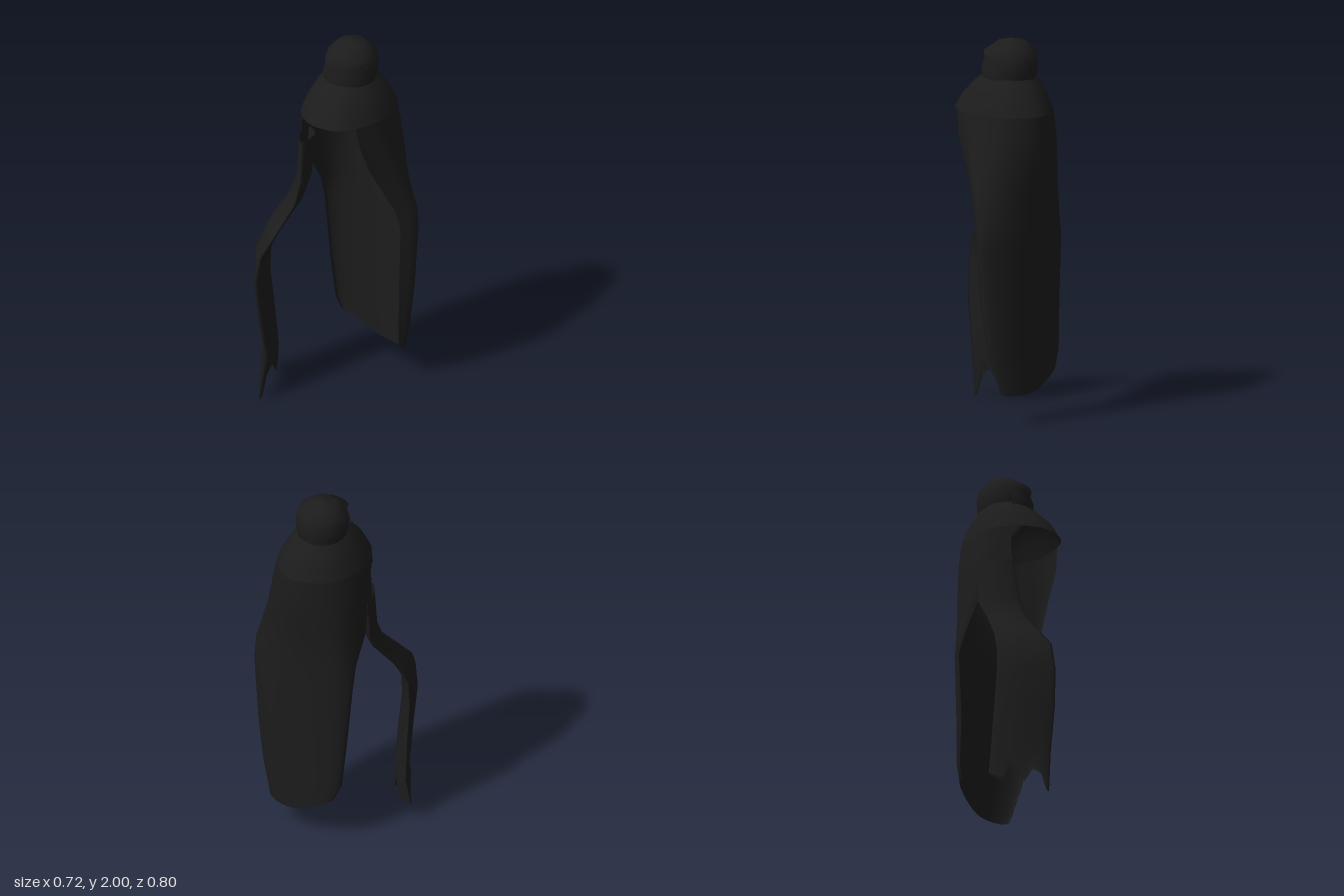
import * as THREE from 'three';

const hair = new THREE.MeshStandardMaterial({ color: 0x1c1c1c, side: THREE.DoubleSide });
hair.name = 'black hair';

// Lofts a sheet through rows of [x, z] or [x, z, y] points; ends sets the height of each tip
function loft(name, rows, columns, closed = false, ends = null) {
  const pos = [], index = [];
  rows.forEach(([y, pts], r) => {
    const curve = new THREE.CatmullRomCurve3(pts.map(p => new THREE.Vector3(p[0], p[2] ?? y, p[1])), closed);
    for (let c = 0; c <= columns; c++) {
      const p = curve.getPoint(c / columns);
      if (ends && r === rows.length - 1) p.y = ends[c];
      pos.push(p.x, p.y, p.z);
      if (r && c < columns) {
        const d = r * (columns + 1) + c, a = d - columns - 1;
        index.push(a, a + 1, d, a + 1, d + 1, d);
      }
    }
  });
  const g = new THREE.BufferGeometry();
  g.setAttribute('position', new THREE.Float32BufferAttribute(pos, 3));
  g.setIndex(index);
  g.computeVertexNormals();
  const m = new THREE.Mesh(g, hair);
  m.name = name;
  return m;
}

function lathe(name, profile, x, z, segments, start = 0, length = Math.PI * 2) {
  const g = new THREE.LatheGeometry(profile.map(p => new THREE.Vector2(...p)), segments, start, length);
  const m = new THREE.Mesh(g, hair);
  m.name = name;
  m.position.set(x, 0, z);
  return m;
}

export function createModel() {
  const model = new THREE.Group();
  model.name = 'longHair';

  // Bun, with a strand wrapped around its front left
  model.add(lathe('bun', [[0.128, 1.785], [0.133, 1.82], [0.14, 1.87], [0.125, 1.935], [0.075, 1.983], [0, 2]], 0.02, -0.145, 20));
  model.add(lathe('bunWrap', [[0.138, 1.79], [0.142, 1.85], [0.125, 1.895], [0.13, 1.93], [0.08, 1.965]], 0.022, -0.125, 12, -0.6, 2.8));

  // Crown: spreads from the bun to the fringe edge and the shoulders
  const back = [[-0.14, 0.07], [-0.195, -0.08], [-0.15, -0.28], [0.03, -0.39], [0.2, -0.3], [0.255, -0.1], [0.22, 0.05]];
  const rim = [...back, [0.16, 0.135], [0.03, 0.17], [-0.06, 0.14]];
  const crown = [[1.82, 0], [1.765, 0.4], [1.7, 0.74], [1.62, 1]].map(([y, t]) => [y, rim.map(([x, z]) => {
    const dx = x - 0.02, dz = z + 0.13, k = 0.12 / Math.hypot(dx, dz);
    const s = k + (1 - k) * t;
    return [0.02 + dx * s, -0.13 + dz * s];
  })]);
  model.add(loft('crown', crown, 40, true));

  // Back hair: an open curved sheet that narrows at the ends
  model.add(loft('backHair', [
    [1.62, back],
    [1.5, [[-0.14, 0.06], [-0.213, -0.08], [-0.17, -0.28], [0.03, -0.397], [0.22, -0.31], [0.275, -0.13], [0.235, 0.03]]],
    [1.35, [[-0.13, 0.08], [-0.225, -0.08], [-0.18, -0.28], [0.03, -0.388], [0.24, -0.315], [0.305, -0.16], [0.24, -0.03]]],
    [1.23, [[-0.22, -0.09], [-0.225, -0.14], [-0.18, -0.28], [0.03, -0.365], [0.24, -0.325], [0.33, -0.22], [0.26, -0.09]]],
    [1.07, [[-0.225, -0.18], [-0.23, -0.21], [-0.18, -0.29], [0.03, -0.357], [0.24, -0.34], [0.358, -0.27], [0.3, -0.17]]],
    [0.95, [[-0.235, -0.22], [-0.235, -0.24], [-0.175, -0.3], [0.03, -0.355], [0.24, -0.345], [0.36, -0.28], [0.31, -0.2]]],
    [0.6, [[-0.205, -0.23], [-0.21, -0.255], [-0.16, -0.3], [0.03, -0.35], [0.22, -0.345], [0.33, -0.285], [0.29, -0.21]]],
    [0.35, [[-0.19, -0.255], [-0.19, -0.275], [-0.14, -0.31], [0.03, -0.345], [0.2, -0.342], [0.29, -0.295], [0.26, -0.24]]],
    [0.2, [[-0.16, -0.27, 0.28], [-0.16, -0.285, 0.265], [-0.11, -0.315, 0.235], [0.03, -0.345, 0.165],
      [0.15, -0.345, 0.155], [0.235, -0.31, 0.165], [0.225, -0.28, 0.2]]],
  ], 24));

  // Long side lock: a flattened tube that swings forward; each row is rear, outer and front edge
  const lock = [
    [1.42, [-0.222, -0.08], [-0.2, 0.01], [-0.135, 0.075]],
    [1.2, [-0.24, -0.08], [-0.205, 0.03], [-0.12, 0.1]],
    [1.08, [-0.255, 0], [-0.22, 0.08], [-0.12, 0.15]],
    [0.95, [-0.3, 0.09], [-0.26, 0.19], [-0.14, 0.27]],
    [0.84, [-0.325, 0.135], [-0.28, 0.26], [-0.16, 0.37]],
    [0.7, [-0.33, 0.14], [-0.28, 0.27], [-0.165, 0.4]],
    [0.5, [-0.33, 0.12], [-0.27, 0.25], [-0.15, 0.385]],
    [0.25, [-0.335, 0.1], [-0.265, 0.22], [-0.14, 0.345]],
    [0.15, [-0.36, 0.11], [-0.27, 0.22], [-0.17, 0.36]],
  ].map(([y, rear, outer, front]) => [y, [rear, outer, front, [outer[0] + 0.06, outer[1] - 0.05]]]);
  const tips = [0.12, 0.11, 0.1, 0.09, 0.19, 0.14, 0.1, 0.16, 0.12, 0.01, 0];
  model.add(loft('sideLock', lock, 20, true, [...tips, ...tips.slice(0, -1).reverse()]));

  // Small loose tip under the fringe
  model.add(loft('fringeTip', [
    [1.63, [[-0.15, 0.05], [-0.11, 0.1], [-0.06, 0.11]]],
    [1.56, [[-0.15, 0.05], [-0.14, 0.075], [-0.12, 0.085]]],
  ], 4));

  return model;
}
